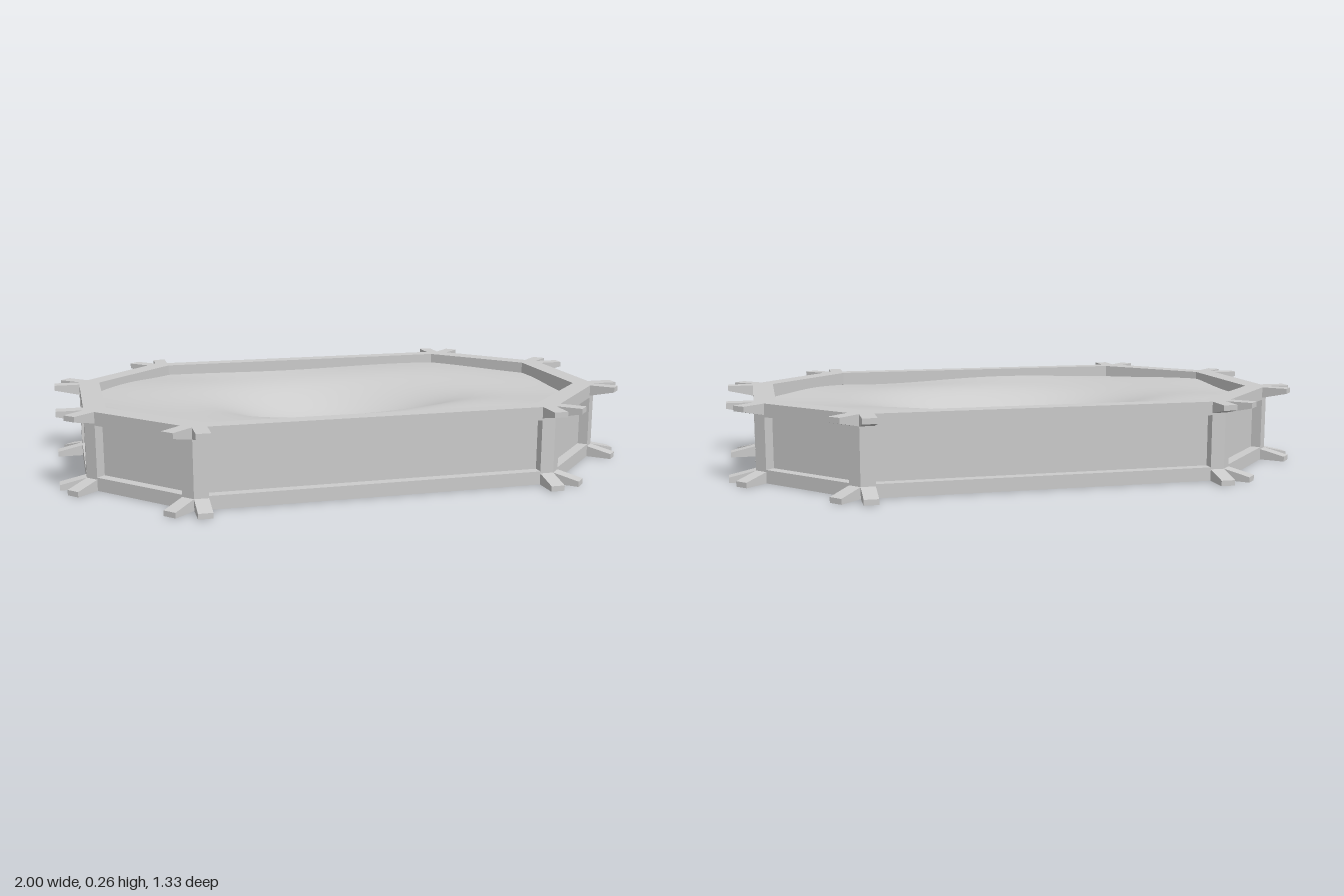
import * as THREE from 'three';

const HEIGHT = 0.265;
const RAIL = 0.045; // rail height
const RECESS = 0.035; // wall panel behind the rail face
const RIB = 0.047; // rib width
const PRONG = 0.088;

// The frame is a thin shell, open underneath
const material = new THREE.MeshStandardMaterial({ color: 0xcccccc, side: THREE.DoubleSide });

// Long octagon from the corner on the short side and the corner on the long side
function octagon(sx, sz, lx, lz) {
  return [
    [sx, -sz], [sx, sz], [lx, lz], [-lx, lz],
    [-sx, sz], [-sx, -sz], [-lx, -lz], [lx, -lz],
  ].map(([x, z]) => new THREE.Vector3(x, 0, z));
}
const OUTER = octagon(0.912, 0.248, 0.602, 0.579);
const INNER = octagon(0.84, 0.225, 0.555, 0.522);

// Flat-shaded mesh from a list of four-cornered faces
function quadMesh(name, quads) {
  const points = quads.flatMap(([a, b, c, d]) => [a, b, c, a, c, d]);
  const geometry = new THREE.BufferGeometry().setFromPoints(points);
  geometry.computeVertexNormals();
  const mesh = new THREE.Mesh(geometry, material);
  mesh.name = name;
  return mesh;
}

// Sweep a profile of [out, y] points along one side, from a to b
function sweep(profile, a, b, out) {
  const at = (p, [d, y]) => p.clone().addScaledVector(out, d).setY(y);
  return profile.slice(1).map((q, i) => {
    const p = profile[i];
    return [at(a, p), at(b, p), at(b, q), at(a, q)];
  });
}

// Upright rib at a corner, with a tapered prong at its foot and head
function rib(corner, along, out) {
  const inside = corner.clone().addScaledVector(along, RIB);
  const lower = [[0, 0], [PRONG, 0], [PRONG, 0.018], [0, 0.038]];
  const upper = lower.map(([d, y]) => [d, HEIGHT - y]).reverse();
  const place = (p, outline) => outline.map(([d, y]) => p.clone().addScaledVector(out, d).setY(y));
  const cheek = [[-RECESS, RAIL], [0, RAIL], [0, HEIGHT - RAIL], [-RECESS, HEIGHT - RAIL]];
  const mesh = quadMesh('cornerRib', [
    ...sweep([...lower, ...upper], corner, inside, out),
    ...[corner, inside].flatMap((p) => [place(p, lower), place(p, upper)]),
    place(inside, cheek),
  ]);
  return mesh;
}

// One side: bottom rail, recessed panel and top rail between two ribs
function side(i) {
  const j = (i + 1) % OUTER.length;
  const start = OUTER[i], end = OUTER[j];
  const along = end.clone().sub(start).normalize();
  const out = new THREE.Vector3(-along.z, 0, along.x);
  if (out.dot(start) < 0) out.negate();
  const back = along.clone().negate();
  const a = start.clone().addScaledVector(along, RIB);
  const b = end.clone().addScaledVector(back, RIB);
  const top = HEIGHT - RAIL;
  const level = (p, y) => p.clone().setY(y);

  const group = new THREE.Group();
  group.name = 'side';
  group.add(
    quadMesh('bottomRail', sweep([[0, 0], [0, RAIL], [-RECESS, RAIL]], a, b, out)),
    quadMesh('wallPanel', sweep([[-RECESS, RAIL], [-RECESS, top]], a, b, out)),
    quadMesh('topRail', [
      ...sweep([[-RECESS, top], [0, top], [0, HEIGHT]], a, b, out),
      [level(start, HEIGHT), level(INNER[i], HEIGHT), level(INNER[j], HEIGHT), level(end, HEIGHT)],
      [level(INNER[i], HEIGHT), level(INNER[i], top), level(INNER[j], top), level(INNER[j], HEIGHT)],
    ]),
    rib(start, along, out),
    rib(end, back, out),
  );
  return group;
}

// Gently rolling soil with a long, steep-sided hollow in the middle
function soilHeight(x, z) {
  const r = Math.hypot(x / 0.38, (z + 0.02 - 0.08 * x) / 0.24);
  const waves = 0.007 * Math.sin(6 * x + 3 * z) + 0.006 * Math.sin(10 * z - 5 * x + 1);
  return 0.226 + waves - 0.13 * Math.exp(-(r ** 2.8));
}

function soil() {
  const [shortCorner, , longCorner] = INNER;
  const shortZ = Math.abs(shortCorner.z);
  const geometry = new THREE.PlaneGeometry(2, 2 * longCorner.z, 72, 48);
  geometry.rotateX(-Math.PI / 2);
  const pos = geometry.attributes.position;
  for (let i = 0; i < pos.count; i++) {
    const z = pos.getZ(i);
    const k = Math.max(0, (Math.abs(z) - shortZ) / (longCorner.z - shortZ));
    const x = pos.getX(i) * THREE.MathUtils.lerp(shortCorner.x, longCorner.x, k);
    pos.setXYZ(i, x, soilHeight(x, z), z);
  }
  geometry.computeVertexNormals();
  const mesh = new THREE.Mesh(geometry, material);
  mesh.name = 'soil';
  return mesh;
}

export function createModel() {
  const model = new THREE.Group();
  model.name = 'raisedBed';
  OUTER.forEach((_, i) => model.add(side(i)));
  model.add(soil());
  return model;
}
